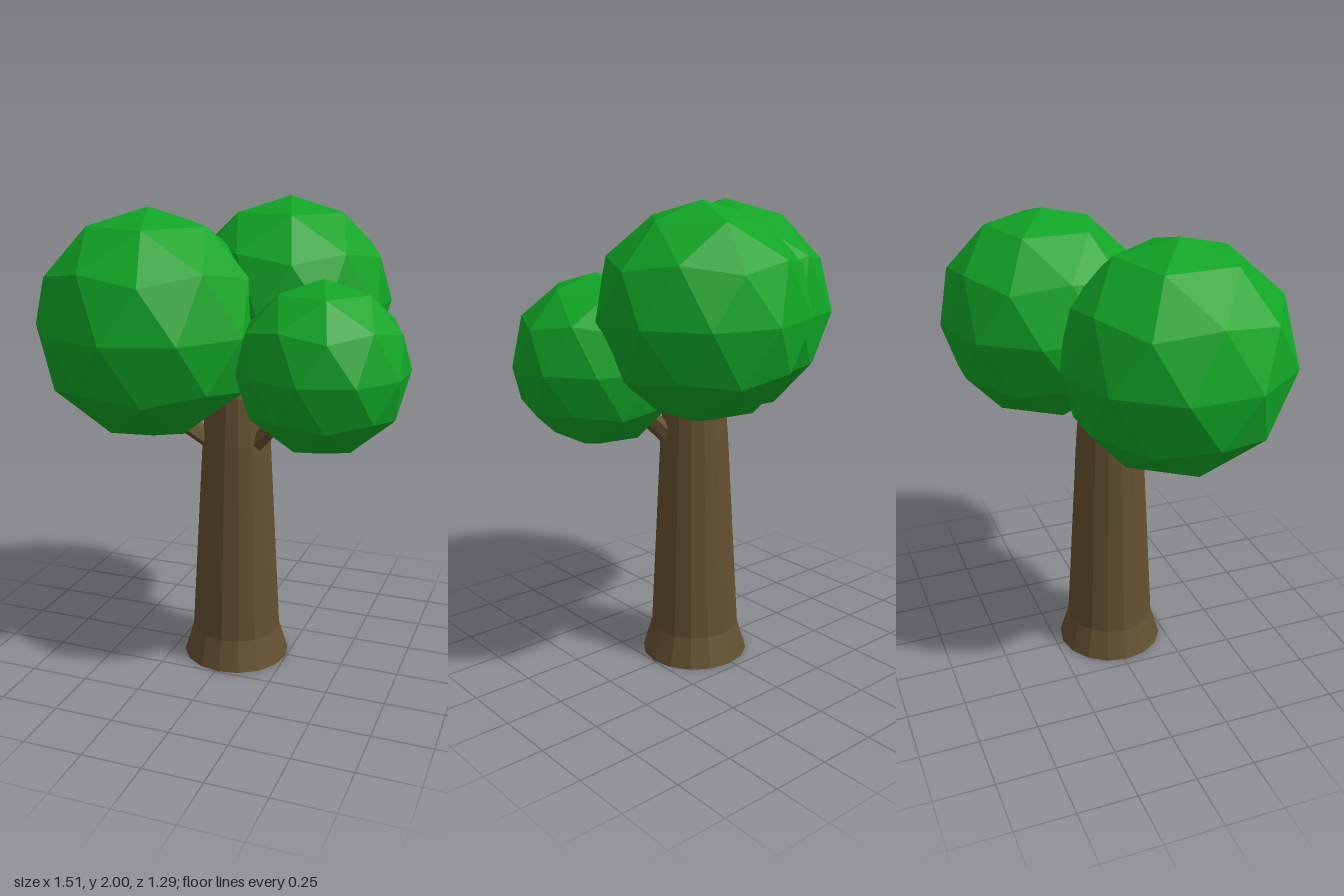
import * as THREE from 'three';

const UP = new THREE.Vector3(0, 1, 0);

export function createModel() {
  const tree = new THREE.Group();
  tree.name = 'tree';

  const leaf = new THREE.MeshStandardMaterial({ color: 0x11a526, flatShading: true });
  leaf.name = 'leaf green';
  const bark = new THREE.MeshStandardMaterial({ color: 0x645030, flatShading: true });
  bark.name = 'bark brown';

  const add = (name, geometry, material) => {
    const mesh = new THREE.Mesh(geometry, material);
    mesh.name = name;
    tree.add(mesh);
    return mesh;
  };

  // Trunk: flared foot and a tapering shaft whose top is hidden in the leaves
  const profile = [[0, 0], [0.232, 0], [0.192, 0.13], [0.145, 1.0], [0.13, 1.2], [0.1, 1.32], [0, 1.32]];
  const trunk = add('trunk', new THREE.LatheGeometry(profile.map(([r, y]) => new THREE.Vector2(r, y)), 16), bark);
  trunk.position.set(0.015, 0, 0.013);

  // Branches: slightly flattened six-sided limbs reaching into the leaf clumps
  const branch = (name, from, to) => {
    const a = new THREE.Vector3(...from);
    const dir = new THREE.Vector3(...to).sub(a);
    const geometry = new THREE.CylinderGeometry(0.042, 0.05, dir.length(), 6);
    geometry.scale(0.8, 1, 1);
    const mesh = add(name, geometry, bark);
    mesh.position.copy(a).addScaledVector(dir, 0.5);
    mesh.quaternion.setFromUnitVectors(UP, dir.normalize());
  };
  branch('rightBranch', [0.0, 0.93, 0.03], [-0.36, 1.18, 0.12]);
  branch('leftBranch', [0.05, 0.925, 0.04], [0.38, 1.28, 0.12]);

  // Leaf clumps: faceted spheres turned so that a vertex points straight up
  const tilt = -Math.atan(2 / (1 + Math.sqrt(5)));
  const clumps = [
    ['rightLeafClump', 0.475, -0.303, 1.495, 0.17],
    ['backLeafClump', 0.433, 0.17, 1.567, -0.217],
    ['leftLeafClump', 0.352, 0.418, 1.362, 0.136],
  ];
  for (const [name, radius, x, y, z] of clumps) {
    const geometry = new THREE.IcosahedronGeometry(radius, 1).rotateZ(tilt);
    add(name, geometry, leaf).position.set(x, y, z);
  }

  return tree;
}
